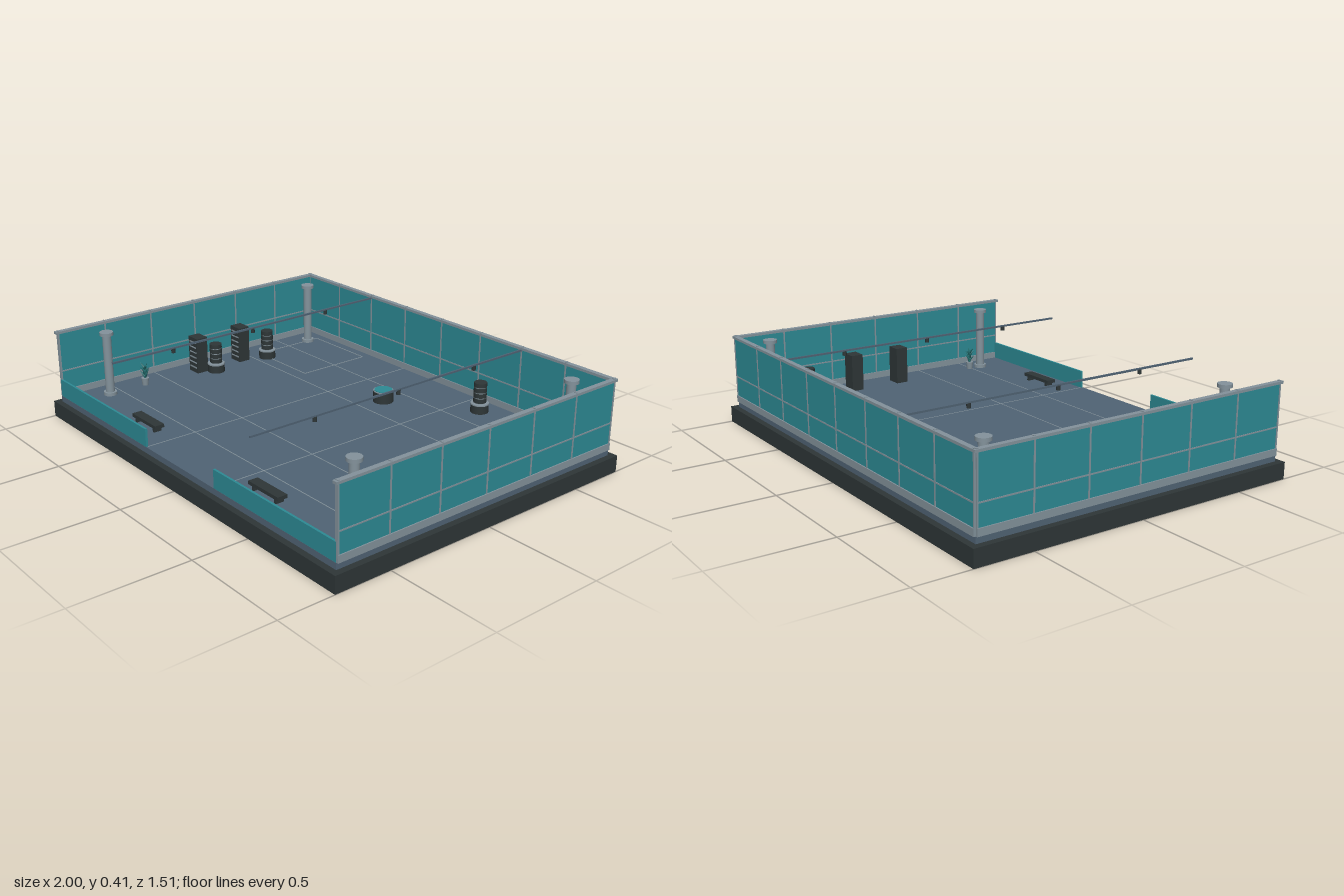
import * as THREE from 'three';

export function createModel() {
  const root = new THREE.Group();
  const mat = (name, color) => {
    const m = new THREE.MeshStandardMaterial({ color });
    m.name = name;
    return m;
  };
  const dark = mat('charcoal', 0x2e3637);
  const slate = mat('slate floor', 0x506374);
  const teal = mat('teal panel', 0x2d8a94);
  const metal = mat('grey metal', 0x83929b);
  const leafMat = mat('leaf teal', 0x236f70);

  const add = (parent, name, geo, m, x, y, z) => {
    const o = new THREE.Mesh(geo, m);
    o.name = name;
    o.position.set(x, y, z);
    parent.add(o);
    return o;
  };
  // Box given by centre x/z and its bottom and top heights
  const box = (name, m, w, y0, y1, d, x, z, parent = root) =>
    add(parent, name, new THREE.BoxGeometry(w, y1 - y0, d), m, x, (y0 + y1) / 2, z);
  const cyl = (name, m, r, y0, y1, x, z, parent = root, rb = r, seg = 24) =>
    add(parent, name, new THREE.CylinderGeometry(r, rb, y1 - y0, seg), m, x, (y0 + y1) / 2, z);
  const group = (name, x, z) => {
    const g = new THREE.Group();
    g.name = name;
    g.position.set(x, 0, z);
    root.add(g);
    return g;
  };

  // Plinth and floor
  box('plinth', dark, 2, 0, 0.073, 1.51, 0, 0);
  box('floor', slate, 1.945, 0.073, 0.1, 1.455, 0, 0);

  // Floor joints
  for (const x of [-0.243, 0.243]) box('floorJoint', metal, 0.004, 0.1, 0.101, 1.44, x, 0);
  for (const z of [-0.487, -0.243, 0.243, 0.487]) box('floorJoint', metal, 1.92, 0.1, 0.101, 0.004, 0, z);

  // Marked floor area
  for (const x of [-0.85, -0.49]) box('floorMarking', metal, 0.004, 0.1, 0.102, 0.365, x, -0.487);
  for (const z of [-0.67, -0.305]) box('floorMarking', metal, 0.36, 0.1, 0.102, 0.004, -0.67, z);

  // Walls: local x runs along the wall
  const wall = (name, length, mullions, x, z, turn) => {
    const g = group(name, x, z);
    g.rotation.y = turn;
    box('panel', teal, length, 0.1, 0.4, 0.01, 0, 0, g);
    box('skirting', metal, length, 0.1, 0.13, 0.02, 0, 0, g);
    box('midRail', metal, length, 0.217, 0.223, 0.014, 0, 0, g);
    box('topRail', metal, length + 0.02, 0.398, 0.409, 0.022, 0, 0, g);
    for (const p of mullions) box('mullion', metal, 0.007, 0.1, 0.412, 0.015, p, 0, g);
  };
  const sideMullions = [-0.722, -0.487, -0.243, 0, 0.243, 0.487, 0.722];
  wall('backWall', 1.94, [-0.968, -0.727, -0.485, -0.243, 0, 0.243, 0.485, 0.727, 0.968], 0, -0.725, 0);
  wall('leftWall', 1.45, sideMullions, 0.97, 0, Math.PI / 2);
  wall('rightWall', 1.45, sideMullions, -0.97, 0, Math.PI / 2);

  for (const s of [-1, 1]) {
    // Low front wall beside the entrance
    box('frontWall', teal, 0.725, 0.1, 0.18, 0.01, s * 0.607, 0.722);

    // Corner columns
    for (const z of [-0.61, 0.545]) {
      const g = group('column', s * 0.85, z);
      cyl('columnFoot', metal, 0.03, 0.1, 0.115, 0, 0, g);
      cyl('columnShaft', metal, 0.02, 0.115, 0.385, 0, 0, g);
      cyl('columnCap', metal, 0.031, 0.385, 0.4, 0, 0, g);
    }

    // Overhead track with small lamps
    box('lampTrack', slate, 0.007, 0.393, 0.401, 1.45, s * 0.485, 0);
    for (const z of [-0.425, 0, 0.425]) cyl('trackLamp', dark, 0.009, 0.376, 0.395, s * 0.485, z, root, 0.009, 12);

    // Benches
    const bench = group('bench', s * 0.425, 0.605);
    box('benchSeat', dark, 0.185, 0.12, 0.135, 0.045, 0, 0, bench);
    for (const x of [-0.07, 0.07]) box('benchLeg', dark, 0.012, 0.1, 0.12, 0.036, x, 0, bench);

    // Racks with shelf edges facing the front
    for (const z of [-0.185, 0.06]) {
      const rack = group('rack', s * 0.85, z);
      box('rackBody', dark, 0.07, 0.1, 0.272, 0.058, 0, 0, rack);
      for (let i = 0; i < 6; i++) {
        const y = 0.122 + i * 0.025;
        box('shelfEdge', metal, 0.054, y, y + 0.006, 0.004, 0, 0.029, rack);
      }
    }
  }

  // Display stands with ringed drums
  for (const [x, z] of [[0.36, -0.61], [0.85, -0.425], [-0.79, -0.305], [-0.79, 0]]) {
    const g = group('displayStand', x, z);
    cyl('standBase', dark, 0.04, 0.1, 0.137, 0, 0, g);
    cyl('standTop', metal, 0.041, 0.137, 0.143, 0, 0, g);
    cyl('drumCore', metal, 0.024, 0.143, 0.235, 0, 0, g);
    for (let i = 0; i < 4; i++) {
      const y = 0.147 + i * 0.0243;
      cyl('drumRing', dark, 0.029, y, y + 0.019, 0, 0, g);
    }
  }

  // Central round table
  const table = group('roundTable', 0, -0.365);
  cyl('tableBody', dark, 0.046, 0.1, 0.15, 0, 0, table, 0.046, 32);
  cyl('tableRim', metal, 0.046, 0.15, 0.153, 0, 0, table, 0.046, 32);
  cyl('tableTop', teal, 0.041, 0.153, 0.156, 0, 0, table, 0.041, 32);

  // Potted plants
  for (const [x, z] of [[-0.85, 0.36], [0.85, 0.48]]) {
    const g = group('plant', x, z);
    cyl('pot', metal, 0.018, 0.1, 0.135, 0, 0, g, 0.014, 16);
    cyl('stem', leafMat, 0.004, 0.135, 0.19, 0, 0, g, 0.004, 8);
    for (let i = 0; i < 10; i++) {
      const a = i * 2.4;
      const leaf = add(g, 'leaf', new THREE.ConeGeometry(0.008, 0.034, 5), leafMat,
        Math.cos(a) * 0.012, 0.152 + i * 0.005, Math.sin(a) * 0.012);
      leaf.rotation.set(Math.sin(a) * 0.8, 0, -Math.cos(a) * 0.8);
    }
  }
  return root;
}
